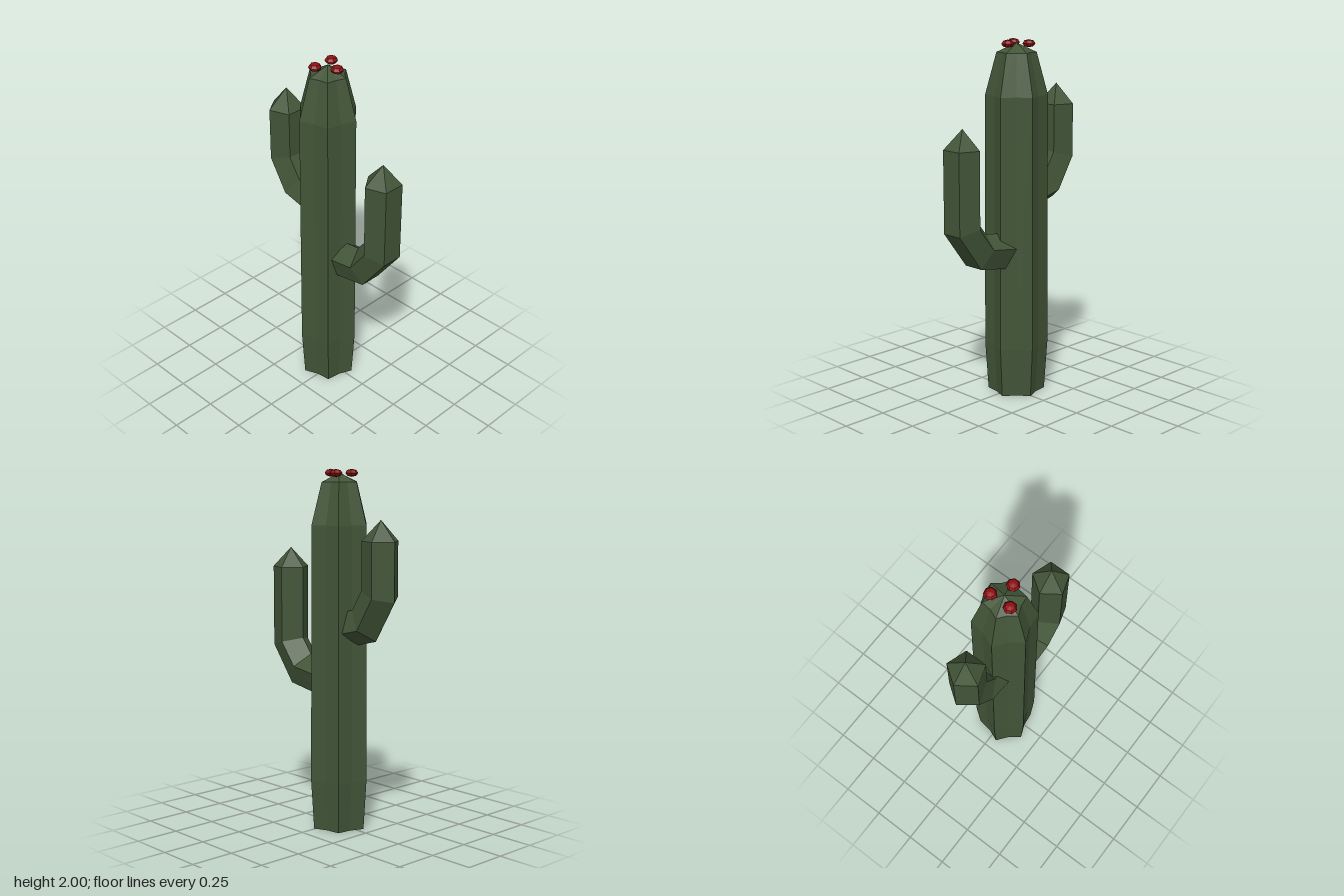
import * as THREE from 'three';

const green = new THREE.MeshStandardMaterial({ color: 0x425538, flatShading: true });
green.name = 'cactus green';
const red = new THREE.MeshStandardMaterial({ color: 0x920f12, flatShading: true });
red.name = 'flower red';

// Closed faceted skin through rings of points, from a base point to an apex
function loft(name, base, rings, apex) {
  const pos = [];
  const tri = (...pts) => pts.forEach((p) => pos.push(p.x, p.y, p.z));
  const n = rings[0].length;
  const last = rings[rings.length - 1];
  for (let j = 0; j < n; j++) {
    const k = (j + 1) % n;
    tri(base, rings[0][j], rings[0][k]);
    for (let i = 0; i < rings.length - 1; i++) {
      const a = rings[i], b = rings[i + 1];
      tri(a[j], b[j], a[k]);
      tri(b[j], b[k], a[k]);
    }
    tri(last[j], apex, last[k]);
  }
  const geo = new THREE.BufferGeometry();
  geo.setAttribute('position', new THREE.Float32BufferAttribute(pos, 3));
  geo.computeVertexNormals();
  const mesh = new THREE.Mesh(geo, green);
  mesh.name = name;
  return mesh;
}

const V = (x, y, z = 0) => new THREE.Vector3(x, y, z);
const TRUNK_X = -0.035;

// Six-ribbed star section of the trunk
function starRing(y, r) {
  return Array.from({ length: 12 }, (_, j) => {
    const a = THREE.MathUtils.degToRad(-15 + 30 * j);
    const d = j % 2 ? r * 0.8 : r;
    return V(TRUNK_X + d * Math.cos(a), y, d * Math.sin(a));
  });
}

// Five-sided arm section, set by its ridge corner and the middle of the opposite flat
function armRing([rx, ry, fx, fy]) {
  return Array.from({ length: 5 }, (_, j) => {
    const a = Math.PI + (j * 2 * Math.PI) / 5;
    const t = (1 + Math.cos(a)) / (1 + Math.cos(Math.PI / 5));
    return V(rx + (fx - rx) * t, ry + (fy - ry) * t, 0.105 * Math.sin(a));
  });
}

function arm(name, sections, apex) {
  const [rx, ry, fx, fy] = sections[0];
  return loft(name, V((rx + fx) / 2, (ry + fy) / 2), sections.map(armRing), apex);
}

export function createModel() {
  const group = new THREE.Group();
  group.name = 'cactus';

  // Trunk
  const profile = [[0, 0.16], [0.28, 0.178], [1.7, 0.171], [1.93, 0.109]];
  group.add(loft('trunk', V(TRUNK_X, 0), profile.map(([y, r]) => starRing(y, r)), V(TRUNK_X, 1.98)));

  // Arms: ridge x, y and flat x, y of each section
  group.add(arm('leftArm', [
    [0, 0.93, 0, 0.735],
    [0.2, 0.955, 0.295, 0.785],
    [0.268, 1.04, 0.45, 0.99],
    [0.265, 1.445, 0.45, 1.445],
  ], V(0.368, 1.555)));
  group.add(arm('rightArm', [
    [-0.06, 1.02, -0.02, 1.21],
    [-0.32, 1.085, -0.2, 1.25],
    [-0.455, 1.305, -0.27, 1.36],
    [-0.455, 1.625, -0.27, 1.625],
  ], V(-0.353, 1.737)));

  // Flowers around the tip
  const flowerGeo = new THREE.SphereGeometry(0.036, 7, 4).scale(1, 0.6, 1);
  for (let i = 0; i < 3; i++) {
    const a = (i * 2 * Math.PI) / 3;
    const flower = new THREE.Mesh(flowerGeo, red);
    flower.name = 'flower' + (i + 1);
    flower.position.set(TRUNK_X + 0.068 * Math.cos(a), 1.978, 0.06 * Math.sin(a) / 0.88);
    group.add(flower);
  }
  return group;
}
